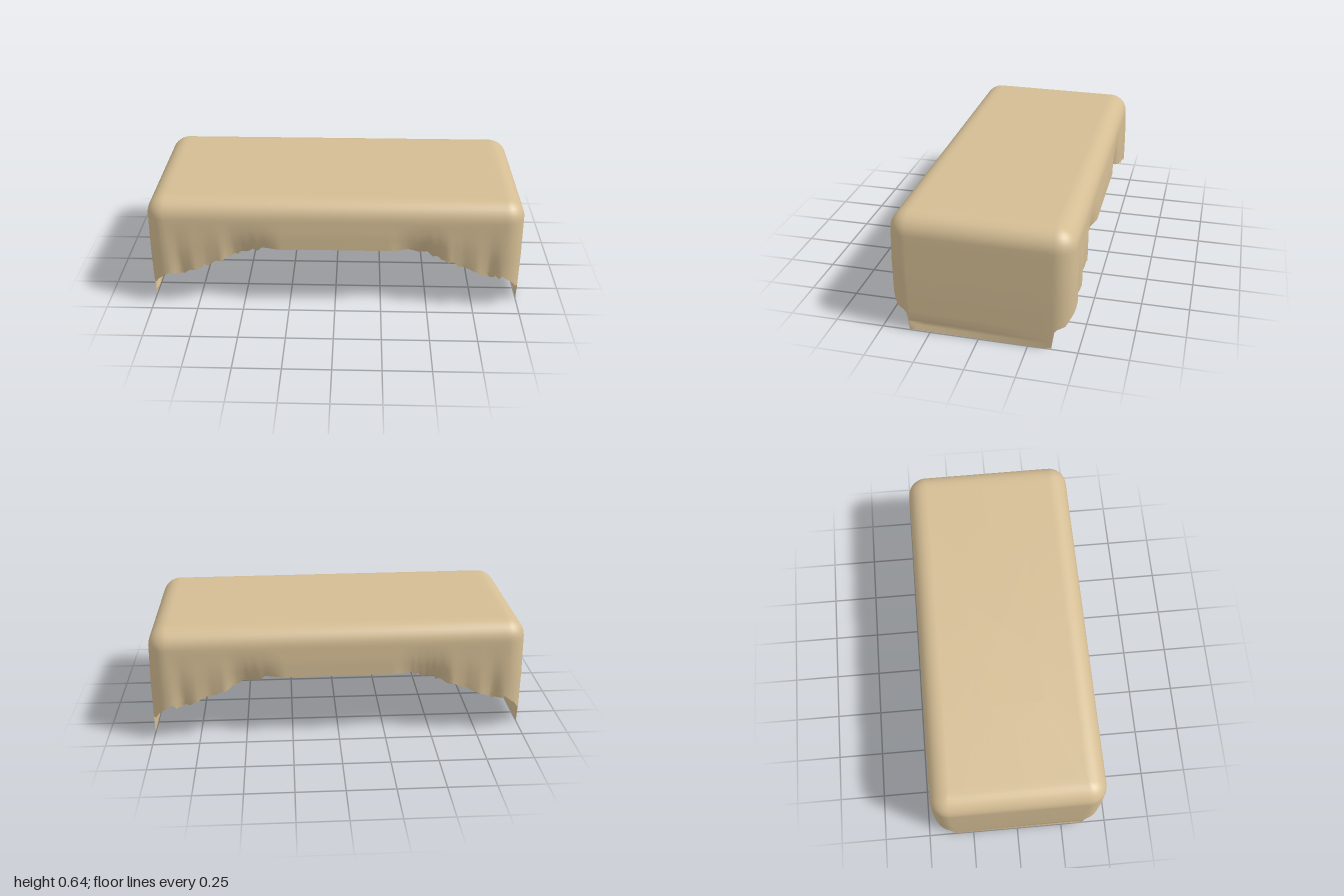
import * as THREE from 'three';

const A = 0.995, B = 0.462, R = 0.1, TOP = 0.633; // half length, half depth, rounding, height

// piecewise linear lookup in [position, value] pairs
function lookup(keys, t) {
  for (let i = 1; i < keys.length; i++) {
    const [t0, v0] = keys[i - 1], [t1, v1] = keys[i];
    if (t <= t1) return v0 + (v1 - v0) * Math.max(0, (t - t0) / (t1 - t0));
  }
  return keys[keys.length - 1][1];
}

// hem height along the long sides (by |x|) and around the corners (end side to long side)
const SIDE_HEM = [[0, 0.368], [0.39, 0.366], [0.41, 0.345], [0.51, 0.33], [0.53, 0.31], [0.63, 0.295],
  [0.67, 0.265], [0.72, 0.25], [0.77, 0.225], [0.83, 0.2], [0.87, 0.205], [0.9, 0.215]];
const CORNER_HEM = [[0, 0.006], [0.08, 0.1], [0.13, 0.115], [0.42, 0.13], [0.6, 0.165], [1, 0.215]];
// inward tucks of the cloth at the long-side hem
const TUCKS = [[0.3, 0], [0.46, 0.045], [0.54, 0.04], [0.6, 0], [0.68, 0.015], [0.76, 0], [0.83, 0.03], [0.88, 0]];

let seed = 7;
const rand = () => (seed = (seed * 16807) % 2147483647) / 2147483647;

// walk round the plan: core point, outward direction and hem height of each column
function outline() {
  const cols = [], a = A - R, b = B - R;
  const corner = (sx, sz, fromEnd) => {
    for (let i = 0; i <= 12; i++) {
      const t = fromEnd ? i / 12 : 1 - i / 12, q = t * Math.PI / 2;
      cols.push({ x: sx * a, z: sz * b, nx: sx * Math.cos(q), nz: sz * Math.sin(q), hem: lookup(CORNER_HEM, t) });
    }
  };
  const side = (s) => { // long side, running towards -x when s is 1
    const n = 110;
    for (let i = 1; i < n; i++) {
      const x = s * a * (1 - 2 * i / n), ax = Math.abs(x);
      const ragged = ax > 0.4 ? (rand() - 0.5) * 0.022 : 0;
      cols.push({ x, z: s * b, nx: 0, nz: s, hem: lookup(SIDE_HEM, ax) + ragged, tuck: lookup(TUCKS, ax) });
    }
  };
  const end = (s) => { // short end, running towards +z when s is 1
    for (let i = 1; i < 20; i++) {
      const z = s * b * (2 * i / 20 - 1);
      cols.push({ x: s * a, z, nx: s, nz: 0, hem: 0.004 + 0.008 * z, crease: 0.014 * (z + b) / (2 * b) });
    }
  };
  corner(1, 1, true);
  side(1);
  corner(-1, 1, false);
  end(-1);
  corner(-1, -1, true);
  side(-1);
  corner(1, -1, false);
  end(1);
  return cols;
}

function clothGeometry() {
  const cols = outline(), n = cols.length, pos = [], index = [];
  const put = (x, y, z) => {
    const lean = THREE.MathUtils.clamp((y - 0.3) / 0.3, 0, 1);
    pos.push(x, y + lean * (0.006 * z - 0.003 * x), z - 0.006 * x); // slight skew of the whole drape
  };
  let rows = 0;
  const row = (fn) => { cols.forEach((c) => put(...fn(c))); rows++; };

  // flat top
  for (const s of [0, 0.5, 0.97]) row((c) => [c.x * s, TOP, c.z * s]);
  // rounded shoulder
  for (let k = 0; k <= 8; k++) {
    const q = k / 8 * Math.PI / 2;
    row((c) => [c.x + c.nx * R * Math.sin(q), TOP - R * (1 - Math.cos(q)), c.z + c.nz * R * Math.sin(q)]);
  }
  // hanging walls down to the hem
  for (const v of [0.08, 0.2, 0.35, 0.5, 0.65, 0.8, 0.9, 0.915, 0.95, 1]) {
    row((c) => {
      const bow = 0.005 * Math.min(1, v * 2);
      const fold = (c.tuck || 0) * v * v * (c.nz ? 1 : 0);
      const pinch = v > 0.905 ? (c.crease || 0) * (1 - v) / 0.085 : 0;
      const r = R + bow - fold - pinch;
      const y = TOP - R + (c.hem - TOP + R) * v;
      return [c.x + c.nx * r, y, c.z + c.nz * r];
    });
  }

  for (let j = 0; j < rows - 1; j++) {
    for (let i = 0; i < n; i++) {
      const k = (i + 1) % n, p = j * n, q = p + n;
      index.push(p + i, p + k, q + i, p + k, q + k, q + i);
    }
  }
  const g = new THREE.BufferGeometry();
  g.setAttribute('position', new THREE.Float32BufferAttribute(pos, 3));
  g.setIndex(index);
  g.computeVertexNormals();
  // the centre point of the top has no area of its own in the fan's first row
  const normal = g.attributes.normal;
  for (let i = 0; i < 3 * n; i++) normal.setXYZ(i, 0, 1, 0);
  return g;
}

export function createModel() {
  const group = new THREE.Group();
  group.name = 'drapedCover';
  const tan = new THREE.MeshStandardMaterial({ color: 0xd4bd94, side: THREE.DoubleSide });
  tan.name = 'tan cloth';
  const cloth = new THREE.Mesh(clothGeometry(), tan);
  cloth.name = 'clothShell';
  group.add(cloth);
  return group;
}
